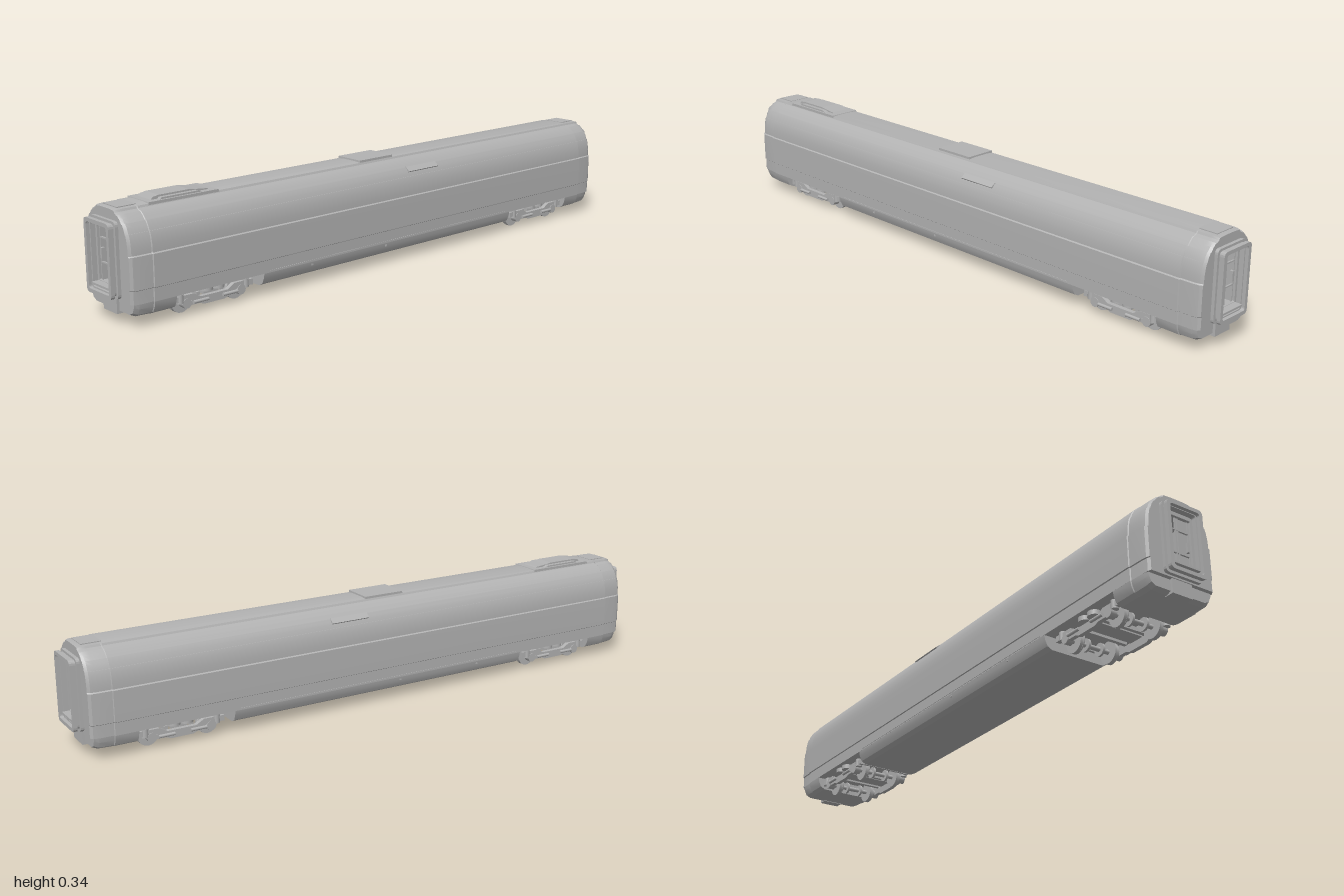
import * as THREE from 'three';
import { toCreasedNormals } from 'three/addons/utils/BufferGeometryUtils.js';

export function createModel() {
  const grey = new THREE.MeshStandardMaterial({ color: 0xb2b2b2, side: THREE.DoubleSide });
  grey.name = 'light grey';
  const model = new THREE.Group();
  model.name = 'railCarriage';

  const add = (parent, name, geo, x = 0, y = 0, z = 0) => {
    const m = new THREE.Mesh(geo, grey);
    m.name = name;
    m.position.set(x, y, z);
    parent.add(m);
    return m;
  };
  const box = (parent, name, w, h, d, x, y, z) => add(parent, name, new THREE.BoxGeometry(w, h, d), x, y, z);
  const cyl = (parent, name, r, len, x, y, z, seg = 20) =>
    add(parent, name, new THREE.CylinderGeometry(r, r, len, seg).rotateX(Math.PI / 2), x, y, z);

  // Mirror a half profile of [z, y] points into a closed ring
  const ring = (half) => [...half, ...half.slice().reverse().map(([z, y]) => [-z, y])];
  const MID = 0.19;
  const scaled = (pts, s, t) => pts.map(([z, y]) => [z * s, MID + (y - MID) * t]);

  // Skin through cross-sections [x, widthScale, heightScale]
  const loft = (pts, sections) => {
    const pos = [], idx = [], n = pts.length;
    for (const [x, s, t] of sections) for (const [z, y] of scaled(pts, s, t)) pos.push(x, y, z);
    for (let i = 0; i < sections.length - 1; i++) for (let j = 0; j < n; j++) {
      const a = i * n + j, b = i * n + (j + 1) % n;
      idx.push(a, b, a + n, b, b + n, a + n);
    }
    const g = new THREE.BufferGeometry();
    g.setAttribute('position', new THREE.Float32BufferAttribute(pos, 3));
    g.setIndex(idx);
    return toCreasedNormals(g.toNonIndexed(), 0.35);
  };
  const outline = (pts) => new THREE.Shape(pts.map(([z, y]) => new THREE.Vector2(z, y)));
  const cap = (name, pts, [x, s, t], hole) => {
    const shape = outline(scaled(pts, s, t));
    if (hole) shape.holes.push(hole);
    add(model, name, new THREE.ShapeGeometry(shape).rotateY(Math.PI / 2), x);
  };

  // Rounded rectangle centred on z = 0
  const roundRect = (w, y0, y1, r, Kind = THREE.Shape) => {
    const p = new Kind();
    p.moveTo(-w + r, y0); p.lineTo(w - r, y0); p.quadraticCurveTo(w, y0, w, y0 + r);
    p.lineTo(w, y1 - r); p.quadraticCurveTo(w, y1, w - r, y1);
    p.lineTo(-w + r, y1); p.quadraticCurveTo(-w, y1, -w, y1 - r);
    p.lineTo(-w, y0 + r); p.quadraticCurveTo(-w, y0, -w + r, y0);
    return p;
  };
  const frame = (name, x, depth, w, y0, y1, t, r) => {
    const s = roundRect(w, y0, y1, r);
    s.holes.push(roundRect(w - t, y0 + t, y1 - t, r * 0.6, THREE.Path));
    const g = new THREE.ExtrudeGeometry(s, { depth, bevelEnabled: false, curveSegments: 4 });
    g.translate(0, 0, -depth / 2).rotateY(Math.PI / 2);
    add(model, name, g, x);
  };

  // Body shell with raised side band and stepped roof shoulders
  const body = ring([[0.117, 0.07], [0.117, 0.108], [0.12, 0.11], [0.12, 0.203], [0.116, 0.206],
    [0.115, 0.23], [0.111, 0.252], [0.107, 0.264], [0.105, 0.264], [0.099, 0.279], [0.091, 0.291],
    [0.089, 0.29], [0.079, 0.302], [0.067, 0.312], [0.065, 0.31], [0.053, 0.316], [0.05, 0.322], [0.025, 0.324]]);
  const e = [0.97, 0.9, 0.975];
  const halfSections = [[0.9, 1, 1], [0.902, 0.975, 0.995], [0.945, 0.965, 0.995], [0.962, 0.945, 0.99], e];
  const flip = (list) => list.map(([x, s, t]) => [-x, s, t]).reverse();
  add(model, 'bodyShell', loft(body, [...flip(halfSections), ...halfSections]));
  for (const d of [-1, 1]) {
    cap('endWall', body, [d * e[0], e[1], e[2]], roundRect(0.045, 0.108, 0.268, 0.006, THREE.Path));
  }

  // Passage lining running from door to door
  add(model, 'passageLining', loft(ring([[0.046, 0.107], [0.046, 0.269]]), [[-0.969, 1, 1], [0.969, 1, 1]]));

  // Skirts: long centre tray and one short tray under each end
  const skirt = ring([[0.09, 0.03], [0.106, 0.038], [0.114, 0.055], [0.117, 0.071]]);
  const tray = (name, sections) => {
    add(model, name, loft(skirt, sections));
    cap(name + 'End', skirt, sections[0]);
    cap(name + 'End', skirt, sections[sections.length - 1]);
  };
  tray('centreSkirt', [[-0.53, 1, 1], [0.53, 1, 1]]);
  const endTray = [[0.83, 1, 1], [0.9, 1, 1], [0.902, 0.975, 1], [0.945, 0.965, 0.99], [0.96, 0.93, 0.95]];
  tray('endSkirt', endTray);
  tray('endSkirt', flip(endTray));

  // Roof equipment
  const pod = (name, pts, w) => {
    const s = new THREE.Shape(pts.map(([x, y]) => new THREE.Vector2(x, y)));
    const g = new THREE.ExtrudeGeometry(s, { depth: w * 2, bevelEnabled: false });
    add(model, name, g.translate(0, 0, -w));
  };
  pod('roofPodBase', [[-0.87, 0.31], [-0.63, 0.31], [-0.635, 0.326], [-0.865, 0.326]], 0.052);
  pod('roofPod', [[-0.85, 0.32], [-0.65, 0.32], [-0.66, 0.329], [-0.7, 0.333], [-0.72, 0.336], [-0.82, 0.336], [-0.84, 0.333]], 0.032);
  pod('roofPodSide', [[-0.83, 0.32], [-0.67, 0.32], [-0.7, 0.331], [-0.82, 0.331]], 0.045);
  pod('roofHatch', [[-0.1, 0.31], [0.04, 0.31], [0.038, 0.329], [-0.098, 0.329]], 0.05);
  for (const d of [-1, 1]) {
    box(model, 'roofEndPanel', 0.06, 0.004, 0.07, d * 0.925, 0.323, 0);
    // Side gutters and shoulder vents
    const vent = box(model, 'shoulderVent', 0.13, 0.02, 0.004, 0.125, 0.285, d * 0.0965);
    vent.rotation.x = -d * 0.88;
    box(model, 'sideSill', 1.02, 0.003, 0.003, 0, 0.075, d * 0.117);
    for (const x of [-0.35, -0.05]) box(model, 'sideFitting', 0.006, 0.005, 0.003, x, 0.062, d * 0.116);
  }

  // Gangways, door frames and couplers
  for (const d of [-1, 1]) {
    frame('gangwayBase', d * 0.974, 0.012, 0.064, 0.078, 0.293, 0.014, 0.014);
    frame('gangwayBellows', d * 0.982, 0.014, 0.056, 0.086, 0.286, 0.009, 0.012);
    frame('gangwayFace', d * 0.994, 0.012, 0.062, 0.08, 0.29, 0.011, 0.014);
    frame('doorFrame', d * 0.968, 0.008, 0.052, 0.1, 0.276, 0.01, 0.006);
    box(model, 'gangwayStep', 0.03, 0.006, 0.09, d * 0.98, 0.106, 0);
    for (const s of [-1, 1]) {
      box(model, 'doorStile', 0.005, 0.16, 0.004, d * 0.962, 0.188, s * 0.004);
      box(model, 'doorEdge', 0.005, 0.16, 0.006, d * 0.962, 0.188, s * 0.042);
      box(model, 'doorHandle', 0.01, 0.03, 0.008, d * 0.962, 0.186, s * 0.036);
    }
    for (const y of [0.16, 0.23]) box(model, 'doorRail', 0.005, 0.004, 0.088, d * 0.962, y, 0);
    box(model, 'couplerBox', 0.03, 0.045, 0.068, d * 0.953, 0.052, 0);
    box(model, 'endBeam', 0.012, 0.006, 0.18, d * 0.958, 0.075, 0);
  }
  box(model, 'closedDoorLeaf', 0.003, 0.16, 0.042, -0.958, 0.188, 0.023);

  // Bogies in the open wells
  for (const d of [-1, 1]) {
    const bogie = new THREE.Group();
    bogie.name = 'bogie';
    bogie.position.x = d * 0.692;
    model.add(bogie);
    box(bogie, 'bolster', 0.05, 0.022, 0.16, 0, 0.052, 0);
    cyl(bogie, 'pivot', 0.018, 0.05, 0, 0.06, 0);
    for (const a of [-1, 1]) {
      const x = a * 0.093;
      cyl(bogie, 'axle', 0.007, 0.17, x, 0.034, 0, 12);
      box(bogie, 'crossBeam', 0.012, 0.012, 0.15, a * 0.04, 0.045, 0);
      box(bogie, 'endBeam', 0.008, 0.01, 0.16, a * 0.128, 0.047, 0);
      for (const s of [-1, 1]) {
        cyl(bogie, 'wheel', 0.032, 0.012, x, 0.032, s * 0.062);
        cyl(bogie, 'wheelFlange', 0.034, 0.004, x, 0.034, s * 0.056);
        cyl(bogie, 'brakeDisc', 0.02, 0.007, x, 0.034, s * 0.025, 16);
        cyl(bogie, 'axleBox', 0.015, 0.022, x, 0.034, s * 0.088, 12);
        box(bogie, 'axleArm', 0.05, 0.012, 0.014, a * 0.074, 0.032, s * 0.09);
        add(bogie, 'axleSpring', new THREE.CylinderGeometry(0.011, 0.011, 0.026, 12), a * 0.112, 0.05, s * 0.09);
        add(bogie, 'airSpring', new THREE.CylinderGeometry(0.02, 0.02, 0.016, 16), a * 0.02, 0.064, s * 0.084);
        const damper = cyl(bogie, 'damper', 0.005, 0.05, a * 0.05, 0.035, s * 0.103, 10);
        damper.rotation.y = Math.PI / 2;
      }
    }
    // Dropped side frames
    for (const s of [-1, 1]) {
      const half = [[0.135, 0.04], [0.135, 0.058], [0.07, 0.058], [0.045, 0.044]];
      const low = [[0.035, 0.02], [0.06, 0.03], [0.085, 0.044]];
      const pts = [...half, ...half.slice().reverse().map(([x, y]) => [-x, y]),
        ...low.slice().reverse().map(([x, y]) => [-x, y]), ...low];
      const shape = new THREE.Shape(pts.map(([x, y]) => new THREE.Vector2(x, y)));
      const g = new THREE.ExtrudeGeometry(shape, { depth: 0.014, bevelEnabled: false });
      add(bogie, 'sideFrame', g.translate(0, 0, -0.007), 0, 0, s * 0.09);
    }
  }
  return model;
}
